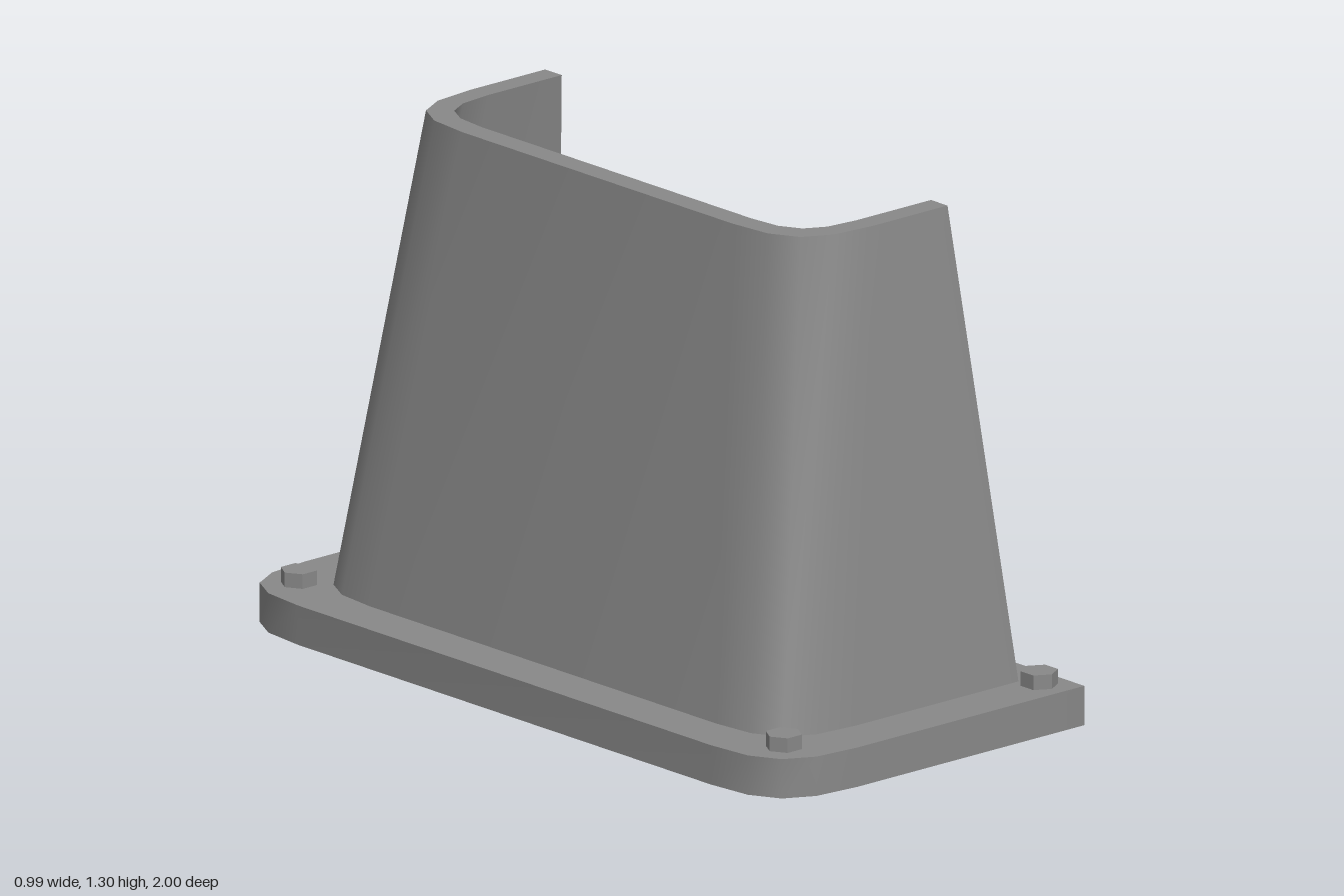
import * as THREE from 'three';
import { toCreasedNormals } from 'three/addons/utils/BufferGeometryUtils.js';

const CORNER_STEPS = 4;
const CORNER_PULL = 0.77;

// Plan outline of a U open towards +x: +z arm tip, two rounded corners, -z arm tip.
function uLine(back, halfZ, r, tip) {
  const half = [[tip, halfZ]];
  const rest = r * (1 - CORNER_PULL);
  const curve = new THREE.CubicBezierCurve(
    new THREE.Vector2(back + r, halfZ),
    new THREE.Vector2(back + rest, halfZ),
    new THREE.Vector2(back, halfZ - rest),
    new THREE.Vector2(back, halfZ - r)
  );
  for (const p of curve.getPoints(CORNER_STEPS)) half.push([p.x, p.y]);
  return [...half, ...half.map(([x, z]) => [x, -z]).reverse()];
}

// Solid between a lower and an upper level; each level is {y, outer, inner}.
function uSolid(low, high, closedBottom) {
  const pos = [];
  const quad = (a, b, c, d) => pos.push(...a, ...b, ...c, ...a, ...c, ...d);
  const lift = (line, y) => line.map(([x, z]) => [x, y, z]);
  const lo = lift(low.outer, low.y), li = lift(low.inner, low.y);
  const ho = lift(high.outer, high.y), hi = lift(high.inner, high.y);

  // Side faces run around the outer line and back along the inner one
  const lowRing = [...lo, ...li.slice().reverse()];
  const highRing = [...ho, ...hi.slice().reverse()];
  for (let i = 0; i < lowRing.length; i++) {
    const j = (i + 1) % lowRing.length;
    quad(lowRing[j], lowRing[i], highRing[i], highRing[j]);
  }
  // Top and, if wanted, bottom faces
  for (let i = 0; i < ho.length - 1; i++) {
    quad(ho[i + 1], ho[i], hi[i], hi[i + 1]);
    if (closedBottom) quad(lo[i], lo[i + 1], li[i + 1], li[i]);
  }
  const geo = new THREE.BufferGeometry();
  geo.setAttribute('position', new THREE.Float32BufferAttribute(pos, 3));
  return toCreasedNormals(geo, 0.65);
}

export function createModel() {
  const model = new THREE.Group();
  model.name = 'housing';
  const darkGrey = new THREE.MeshStandardMaterial({ color: 0x888888 });
  const darkGreyOpen = new THREE.MeshStandardMaterial({ color: 0x888888, side: THREE.DoubleSide });

  const add = (name, geo, mat) => {
    const mesh = new THREE.Mesh(geo, mat);
    mesh.name = name;
    model.add(mesh);
    return mesh;
  };

  // Base flange, hollow from below
  const flangeOuter = uLine(-0.495, 1, 0.25, 0.495);
  const flangeInner = uLine(-0.25, 0.745, 0.2, 0.495);
  add('baseFlange', uSolid(
    { y: 0, outer: flangeOuter, inner: flangeInner },
    { y: 0.1, outer: flangeOuter, inner: flangeInner }, false), darkGreyOpen);

  // Tapering wall standing on the flange
  add('taperedWall', uSolid(
    { y: 0.1, outer: uLine(-0.37, 0.867, 0.24, 0.4), inner: uLine(-0.305, 0.805, 0.19, 0.4) },
    { y: 1.3, outer: uLine(-0.192, 0.73, 0.24, 0.292), inner: uLine(-0.13, 0.67, 0.18, 0.292) },
    true), darkGrey);

  // Hexagonal bolt heads, mirrored front to back
  const head = new THREE.CylinderGeometry(0.046, 0.046, 0.042, 6).toNonIndexed();
  head.computeVertexNormals();
  for (const side of [1, -1]) {
    const corner = add('cornerBolt', head, darkGrey);
    corner.position.set(-0.375, 0.116, side * 0.88);
    corner.rotation.y = Math.PI / 6;
    add('tipBolt', head, darkGrey).position.set(0.42, 0.116, side * 0.92);
  }
  return model;
}
